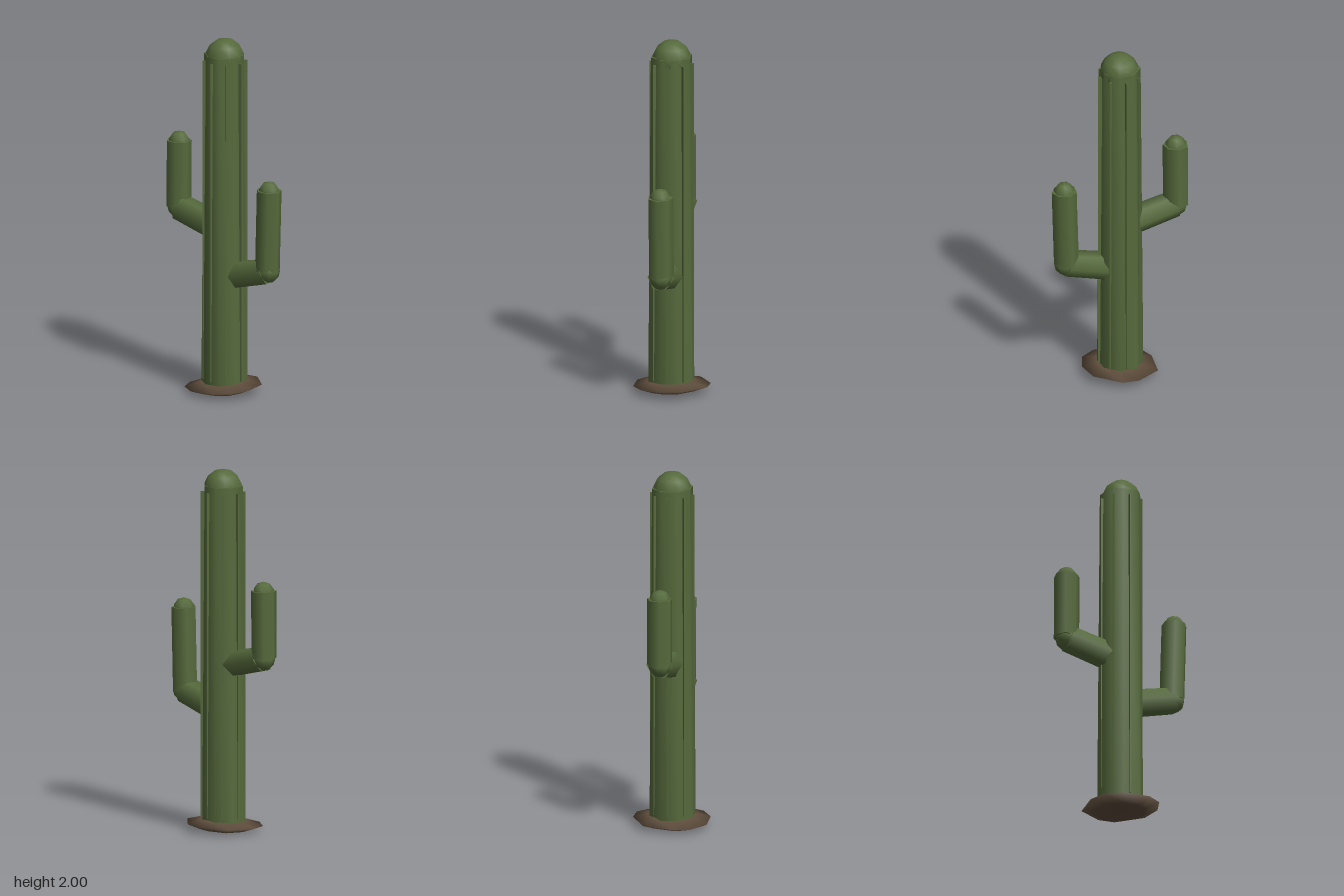
import * as THREE from 'three';

const green = new THREE.MeshStandardMaterial({ color: 0x566a3c });
green.name = 'cactusGreen';
const soil = new THREE.MeshStandardMaterial({ color: 0x5f4e3d });
soil.name = 'soilBrown';

function add(parent, name, geometry, material, x = 0, y = 0, z = 0) {
  const mesh = new THREE.Mesh(geometry, material);
  mesh.name = name;
  mesh.position.set(x, y, z);
  parent.add(mesh);
  return mesh;
}

// Skins rings of [x, y, z] points, counter-clockwise from above, bottom to top.
function loft(rings) {
  const n = rings[0].length, index = [];
  for (let r = 0; r < rings.length - 1; r++) {
    for (let i = 0; i < n; i++) {
      const a = r * n + i, b = r * n + (i + 1) % n;
      index.push(a, b, a + n, b, b + n, a + n);
    }
  }
  const geometry = new THREE.BufferGeometry();
  geometry.setAttribute('position', new THREE.Float32BufferAttribute(rings.flat(2), 3));
  geometry.setIndex(index);
  geometry.computeVertexNormals();
  return geometry;
}

// Tapered stem between two points, with slightly uneven sides.
function stem(parent, name, from, to, r0, r1, sides, turn) {
  const a = new THREE.Vector3(...from), b = new THREE.Vector3(...to);
  const dir = b.clone().sub(a);
  const geometry = new THREE.CylinderGeometry(r1, r0, dir.length(), sides, 1, false, turn);
  const p = geometry.attributes.position;
  for (let i = 0; i < p.count; i++) {
    const k = 1 + 0.03 * Math.sin(Math.atan2(p.getZ(i), p.getX(i)) * 3 + turn);
    p.setX(i, p.getX(i) * k);
    p.setZ(i, p.getZ(i) * k);
  }
  const mesh = add(parent, name, geometry, green);
  mesh.position.copy(a).add(b).multiplyScalar(0.5);
  mesh.quaternion.setFromUnitVectors(new THREE.Vector3(0, 1, 0), dir.normalize());
}

// Arm: sloping branch, elbow, upright and rounded tip.
function arm(name, root, elbow, top, turn) {
  const group = new THREE.Group();
  group.name = name;
  stem(group, 'branch', root, elbow, 0.078, 0.074, 6, 0);
  add(group, 'elbow', new THREE.SphereGeometry(0.066, 8, 6), green, elbow[0], elbow[1], 0);
  stem(group, 'upright', [elbow[0] - 0.005, elbow[1] + 0.005, 0], top, 0.07, 0.07, 7, turn);
  add(group, 'tip', new THREE.SphereGeometry(0.06, 7, 5), green, top[0], top[1] - 0.008, 0);
  return group;
}

export function createModel() {
  const model = new THREE.Group();
  model.name = 'cactus';

  // Uneven, slightly tilted mound of earth
  const outline = [[-0.04, -0.21], [-0.18, -0.125], [-0.205, 0.05], [-0.17, 0.14], [-0.07, 0.205],
    [0.08, 0.198], [0.165, 0.14], [0.205, 0.03], [0.185, -0.095], [0.055, -0.21]];
  const layers = [[0.01, 0.012], [0.62, 0.012], [1, 0.043], [0.6, 0.066], [0.01, 0.07]];
  const mound = layers.map(([s, y]) =>
    outline.map(([x, z]) => [x * s, y + x * s * 0.05 - z * s * 0.03, z * s]));
  const lowest = Math.min(...mound.flat().map(p => p[1]));
  mound.flat().forEach(p => { p[1] -= lowest; });
  add(model, 'mound', loft(mound), soil);

  // Trunk with uneven sides and a closed top
  const radii = [0.97, 0.97, 1.0, 1.03, 1.05, 1.05, 0.98, 1.06];
  const trunkRing = (r, y) => radii.map((k, i) => {
    const a = (0.4 - i) / 8 * Math.PI * 2;
    return [Math.cos(a) * r * k, y, Math.sin(a) * r * k];
  });
  add(model, 'trunk', loft([trunkRing(0.125, 0.04), trunkRing(0.111, 1.91)]), green);
  add(model, 'trunkTop', loft([trunkRing(0.111, 1.91), trunkRing(0.001, 1.912)]), green);
  add(model, 'crown', new THREE.SphereGeometry(0.107, 10, 7), green, 0, 1.893, 0);

  // Thin upright ribs, mostly sunk into the trunk
  for (let i = 0; i < 8; i++) {
    const a = i / 8 * Math.PI * 2;
    const rib = add(model, 'rib', new THREE.BoxGeometry(0.007, 1.8, 0.024), green,
      Math.sin(a) * 0.111, 0.975, Math.cos(a) * 0.111);
    rib.rotation.y = a;
  }

  // Arms
  model.add(arm('leftArm', [0.07, 0.675, 0], [0.31, 0.737, 0], [0.318, 1.195, 0], 0.6));
  model.add(arm('rightArm', [-0.07, 0.93, 0], [-0.325, 0.99, 0], [-0.327, 1.365, 0], 1.3));

  return model;
}
